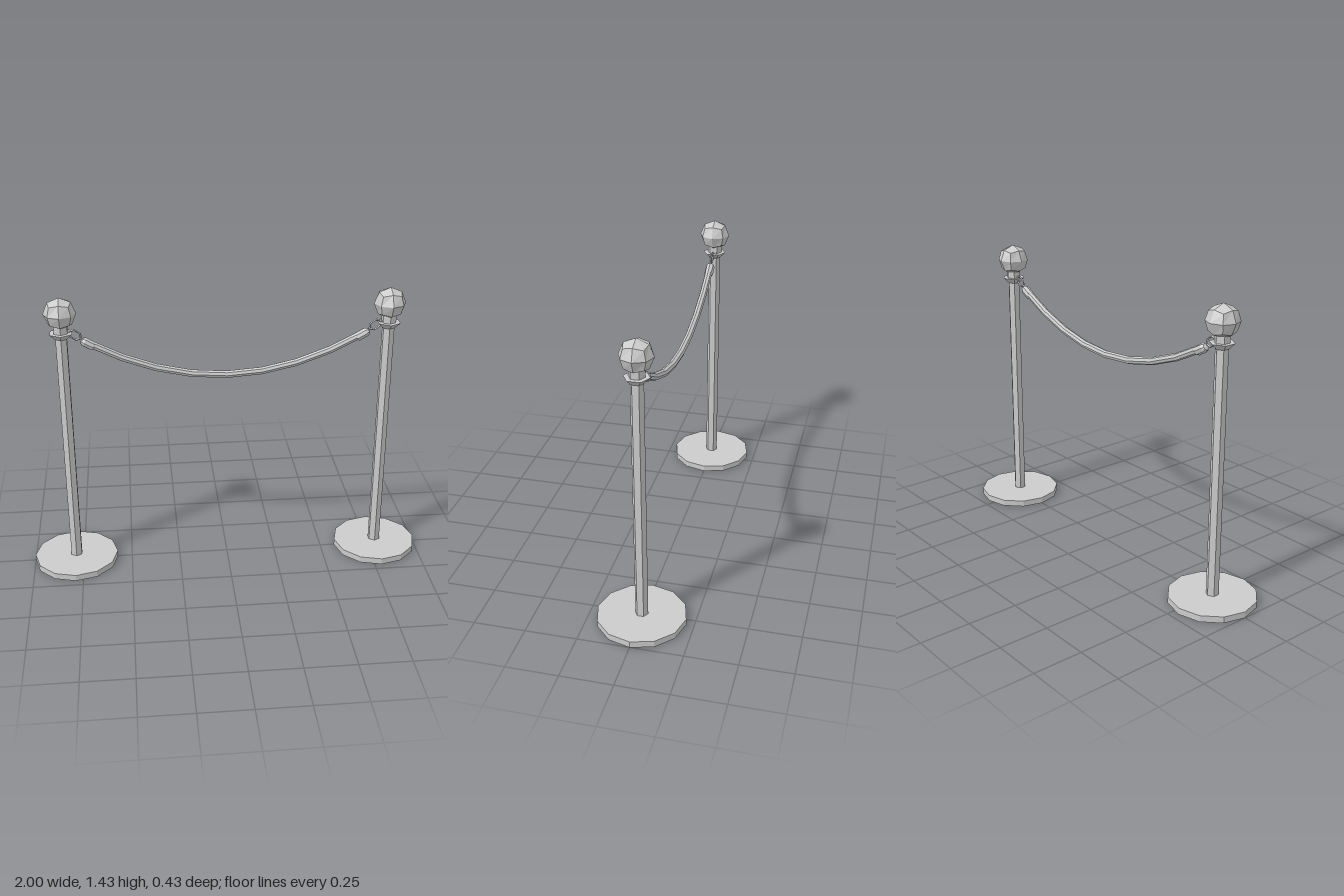
import * as THREE from 'three';

const material = new THREE.MeshStandardMaterial({ color: 0xcccccc, flatShading: true });
const POST_X = 0.787;

function addPart(parent, name, geometry, x = 0, y = 0, z = 0) {
  const mesh = new THREE.Mesh(geometry, material);
  mesh.name = name;
  mesh.position.set(x, y, z);
  parent.add(mesh);
  return mesh;
}

// Subdivided cube pushed out to a sphere
function quadSphere(radius) {
  const geometry = new THREE.BoxGeometry(1, 1, 1, 2, 2, 2);
  const p = geometry.attributes.position;
  const v = new THREE.Vector3();
  for (let i = 0; i < p.count; i++) {
    v.fromBufferAttribute(p, i).setLength(radius);
    p.setXYZ(i, v.x, v.y, v.z);
  }
  geometry.computeVertexNormals();
  return geometry;
}

function lathe(points, sides) {
  return new THREE.LatheGeometry(points.map(([r, y]) => new THREE.Vector2(r, y)), sides);
}

function createPost(name) {
  const post = new THREE.Group();
  post.name = name;
  addPart(post, 'base', new THREE.CylinderGeometry(0.213, 0.213, 0.032, 12), 0, 0.016);
  addPart(post, 'pole', new THREE.CylinderGeometry(0.031, 0.031, 1.21, 6), 0, 0.635);
  // Flared collar with the neck that carries the ball
  addPart(post, 'collar', lathe([
    [0, 1.23], [0.032, 1.23], [0.06, 1.258], [0.037, 1.258], [0.037, 1.295], [0, 1.295],
  ], 6));
  addPart(post, 'ballFinial', quadSphere(0.078), 0, 1.354);
  return post;
}

export function createModel() {
  const group = new THREE.Group();
  group.name = 'ropeBarrier';

  // Sagging rope
  const ropeY = (x) => 1.013 + 0.43 * x * x;
  const points = [];
  for (let i = 0; i <= 8; i++) {
    const x = -0.66 + (1.32 * i) / 8;
    points.push(new THREE.Vector3(x, ropeY(x), 0));
  }
  const ropeCurve = new THREE.CatmullRomCurve3(points);
  addPart(group, 'rope', new THREE.TubeGeometry(ropeCurve, 8, 0.019, 8, false));

  for (const side of [-1, 1]) {
    const label = side > 0 ? 'left' : 'right';
    const post = createPost(label + 'Post');
    post.position.x = side * POST_X;
    group.add(post);

    // Ferrule gripping the rope end
    const ferrule = addPart(group, label + 'Ferrule', lathe([
      [0, -0.035], [0.019, -0.034], [0.023, -0.026], [0.023, 0.02], [0.016, 0.033], [0, 0.037],
    ], 8), side * 0.663, 1.199);
    ferrule.rotation.z = -side * (Math.PI / 2 - 0.52);

    // Elongated link between ferrule and collar
    const linkGeometry = new THREE.TorusGeometry(0.022, 0.0045, 4, 6);
    linkGeometry.scale(1.5, 1, 1);
    const link = addPart(group, label + 'Link', linkGeometry, side * 0.722, 1.245);
    link.rotation.z = side * 0.6;
  }
  return group;
}
